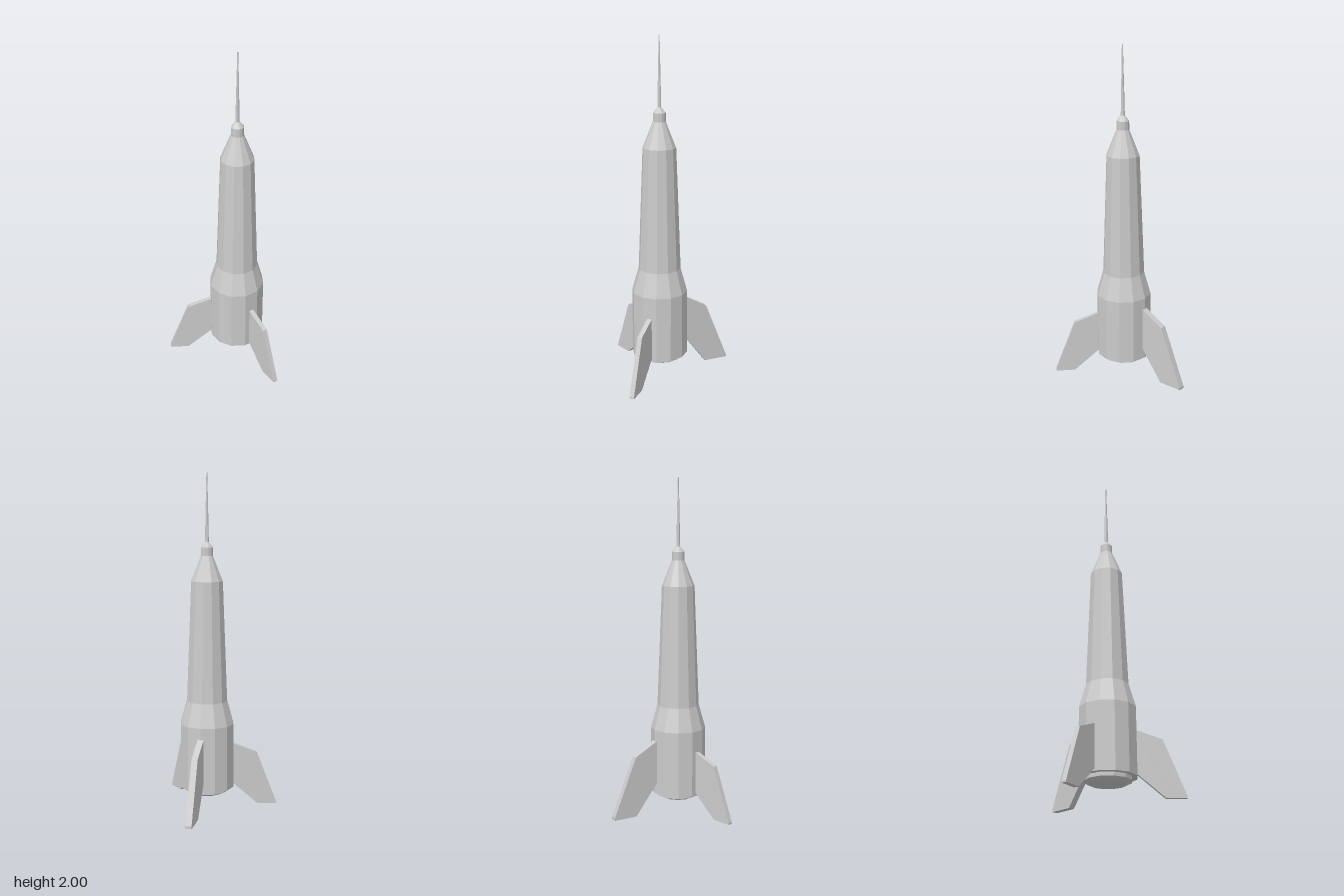
import * as THREE from 'three';

const grey = new THREE.MeshStandardMaterial({ color: 0xcccccc, flatShading: true });

// Faceted turned part from [radius, height] pairs listed bottom to top
function turned(name, profile, sides) {
  const points = profile.map(([r, y]) => new THREE.Vector2(r, y));
  const mesh = new THREE.Mesh(new THREE.LatheGeometry(points, sides), grey);
  mesh.name = name;
  return mesh;
}

// Flat fin: outline in [distance from axis, height], turned to face `degrees` (0 = +x, 90 = +z)
function fin(name, outline, thickness, degrees, ridge = 0) {
  const shape = new THREE.Shape(outline.map(([r, y]) => new THREE.Vector2(r, y)));
  const geometry = new THREE.ExtrudeGeometry(shape, { depth: thickness, steps: 2, bevelEnabled: false });
  geometry.translate(0, 0, -thickness / 2);
  // Push the middle of the leading edge outward to form a ridge
  const p = geometry.attributes.position;
  const bottomInner = outline[3][0];
  for (let i = 0; i < p.count; i++) {
    if (Math.abs(p.getZ(i)) < 1e-4 && p.getX(i) > bottomInner + 0.001) p.setX(i, p.getX(i) + ridge);
  }
  geometry.computeVertexNormals();
  const mesh = new THREE.Mesh(geometry, grey);
  mesh.name = name;
  mesh.rotation.y = -THREE.MathUtils.degToRad(degrees);
  return mesh;
}

export function createModel() {
  const rocket = new THREE.Group();
  rocket.name = 'rocket';

  // Hull with flared skirt, tapered tank and conical nose
  rocket.add(turned('hull', [
    [0, 0.117], [0.165, 0.117], [0.165, 0.51], [0.125, 0.65],
    [0.097, 1.37], [0.037, 1.52],
  ], 12));
  rocket.add(turned('noseCap', [[0.037, 1.52], [0.037, 1.57], [0.012, 1.6], [0, 1.6]], 12));
  rocket.add(turned('spire', [[0.012, 1.595], [0.008, 1.78], [0.003, 2], [0, 2]], 8));

  // Engine plate under the skirt
  rocket.add(turned('engine', [[0, 0.08], [0.105, 0.08], [0.135, 0.095], [0.135, 0.118]], 12));

  // Two matching front fins and a taller ridged rear fin
  const frontOutline = [[0.15, 0.385], [0.15, 0.14], [0.15, 0.139], [0.315, 0], [0.424, 0], [0.424, 0.01], [0.303, 0.325]];
  frontOutline.splice(2, 1);
  const front = [frontOutline[0], frontOutline[1], [0.31, 0], [0.31, 0.0001], ...frontOutline.slice(3)];
  front.splice(3, 1);
  rocket.add(fin('leftFin', front, 0.028, 45));
  rocket.add(fin('rightFin', front, 0.028, 165));
  const rear = [[0.155, 0.447], [0.155, 0.19], [0.3, 0], [0.445, 0], [0.445, 0.015], [0.302, 0.365]];
  rocket.add(fin('rearFin', rear, 0.037, 270, 0.006));

  rocket.position.set(0.05, 0, 0.07);
  const model = new THREE.Group();
  model.add(rocket);
  return model;
}
